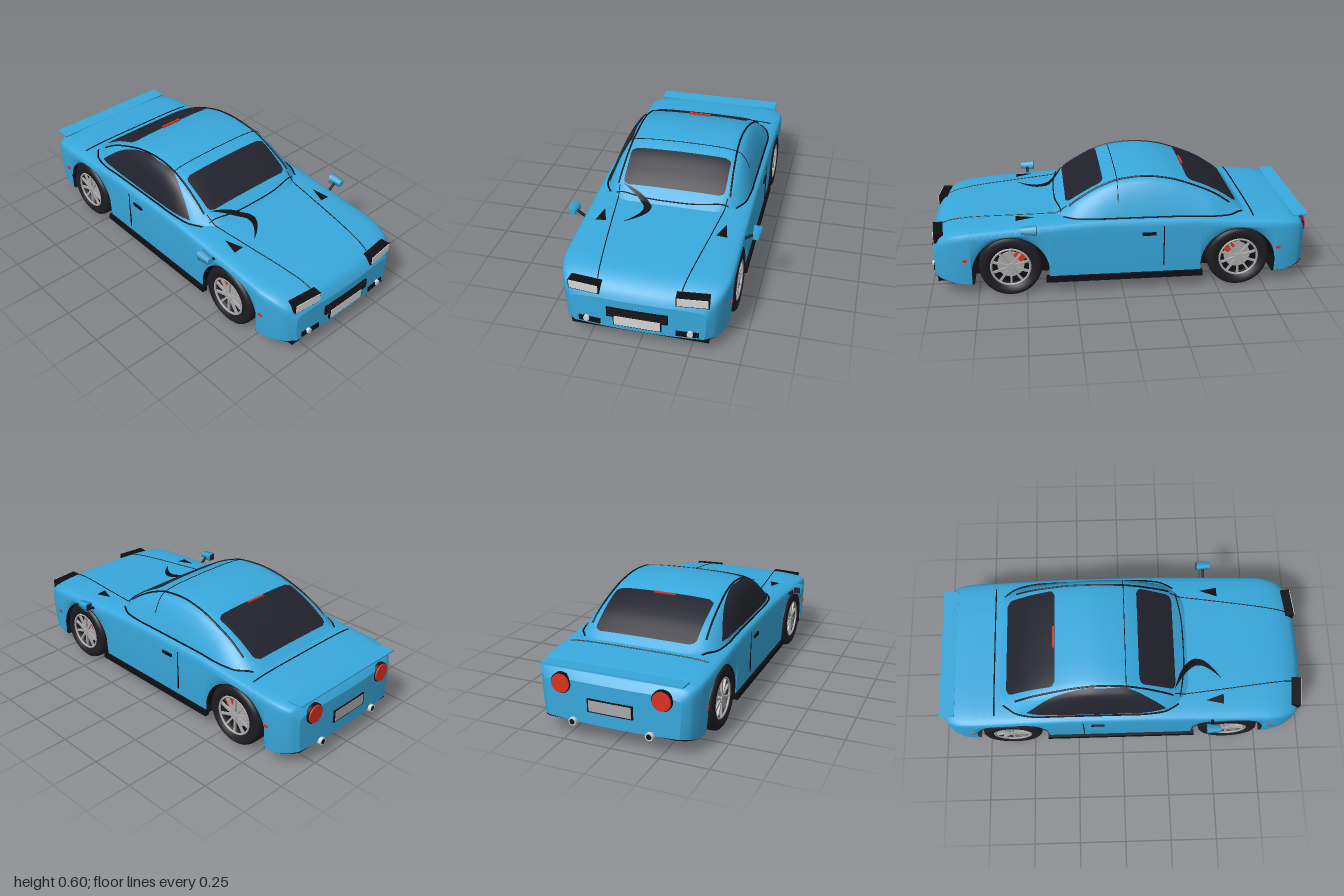
import * as THREE from 'three';

const mat = (name, color, side = THREE.FrontSide) => {
  const m = new THREE.MeshStandardMaterial({ color, side });
  m.name = name;
  return m;
};
const paint = mat('bluePaint', 0x38a8dc, THREE.DoubleSide);
const glass = mat('darkGlass', 0x22222e, THREE.DoubleSide);
const black = mat('blackTrim', 0x0e0e13, THREE.DoubleSide);
const rubber = mat('rubber', 0x1d1d22, THREE.DoubleSide);
const silver = mat('silver', 0xa9a9a9, THREE.DoubleSide);
const lens = mat('lightLens', 0xd6d6d6);
const red = mat('redLens', 0xd8331f);

// Smooth monotone interpolation through [x, y] pairs
function curve(pts) {
  const d = pts.slice(1).map((p, i) => (p[1] - pts[i][1]) / (p[0] - pts[i][0]));
  const m = pts.map((_, i) => {
    const a = d[i - 1] ?? d[i], b = d[i] ?? d[i - 1];
    return a * b <= 0 ? 0 : (2 * a * b) / (a + b);
  });
  return (x) => {
    x = Math.min(Math.max(x, pts[0][0]), pts[pts.length - 1][0]);
    let i = 0;
    while (i < pts.length - 2 && x > pts[i + 1][0]) i++;
    const h = pts[i + 1][0] - pts[i][0], t = (x - pts[i][0]) / h, u = 1 - t;
    return (1 + 2 * t) * u * u * pts[i][1] + t * u * u * h * m[i] +
      t * t * (3 - 2 * t) * pts[i + 1][1] - t * t * u * h * m[i + 1];
  };
}

// Surface from two lists of parameters
function grid(us, vs, fn) {
  const pos = [], idx = [], n = vs.length;
  us.forEach((u) => vs.forEach((v) => pos.push(...fn(u, v))));
  for (let i = 0; i < us.length - 1; i++) for (let j = 0; j < n - 1; j++) {
    const a = i * n + j;
    idx.push(a, a + 1, a + n, a + 1, a + n + 1, a + n);
  }
  const g = new THREE.BufferGeometry();
  g.setAttribute('position', new THREE.Float32BufferAttribute(pos, 3));
  g.setIndex(idx);
  g.computeVertexNormals();
  return g;
}
const span = (a, b, n) => Array.from({ length: n + 1 }, (_, i) => a + ((b - a) * i) / n);

// Body measurements along the length
const ARCHES = [-0.61, 0.58], ARCH_R = 0.2, ARCH_Y = 0.125, H = 0.05;
const width = curve([[-0.99, 0.35], [-0.965, 0.385], [-0.9, 0.412], [-0.8, 0.42], [0.78, 0.42], [0.88, 0.405], [0.95, 0.375], [0.99, 0.33]]);
const topLine = curve([[-0.99, 0.31], [-0.96, 0.35], [-0.9, 0.367], [-0.64, 0.387], [-0.3, 0.41], [0.1, 0.413], [0.35, 0.4], [0.55, 0.387], [0.75, 0.373], [0.87, 0.357], [0.94, 0.33], [0.975, 0.295], [0.99, 0.265]]);
const sill = curve([[-0.99, 0.1], [-0.85, 0.07], [0.82, 0.07], [0.99, 0.095]]);
const bow = (x, z) => Math.sign(x) * 0.025 * (z / 0.4) ** 2 * Math.max(0, (Math.abs(x) - 0.8) / 0.19);
function lowerEdge(x) {
  let y = sill(x);
  for (const c of ARCHES) {
    const d = Math.abs(x - c);
    if (d < ARCH_R) y = Math.max(y, ARCH_Y + Math.sqrt(ARCH_R ** 2 - d * d));
  }
  return Math.min(y, topLine(x) - H - 0.004);
}
function bodyPoint(x, v) {
  const a = Math.abs(v), w = width(x), ys = topLine(x) - H, b = lowerEdge(x);
  let y, z;
  if (a > 0.5) {
    const f = (1 - a) * 2;
    y = b + (ys - b) * f;
    z = w * (1 - 0.03 * (1 - f) ** 2);
  } else {
    z = w * Math.sqrt(Math.sin(a * Math.PI));
    y = ys + H * Math.sqrt(Math.max(0, Math.cos(a * Math.PI)));
  }
  return [x - bow(x, z), y, z * Math.sign(v)];
}

// Cabin measurements
const BELT = 0.385;
const roofLine = curve([[-0.67, 0.375], [-0.6, 0.428], [-0.5, 0.495], [-0.35, 0.562], [-0.25, 0.592], [-0.13, 0.605], [0, 0.594], [0.1, 0.56], [0.2, 0.505], [0.3, 0.44], [0.38, 0.385]]);
const cabinWidth = curve([[-0.67, 0.27], [-0.62, 0.335], [-0.56, 0.365], [-0.45, 0.386], [0.1, 0.388], [0.22, 0.375], [0.3, 0.335], [0.38, 0.26]]);
const SECTION = [[0, 1], [0.4, 0.985], [0.65, 0.95], [0.78, 0.88], [0.85, 0.74], [0.92, 0.47], [0.97, 0.2], [1, 0]];
const rise = curve(SECTION);
const inset = curve(SECTION.map(([z, t]) => [t, z]).reverse());
const roofY = (x, z) => BELT + (roofLine(x) - BELT) * rise(Math.abs(z) / cabinWidth(x));
function surfaceY(x, z) {
  const w = width(x), hood = topLine(x) - H + H * Math.max(0, 1 - (z / w) ** 4) ** 0.25;
  const inCabin = x > -0.67 && x < 0.38 && Math.abs(z) < cabinWidth(x);
  return inCabin ? Math.max(hood, roofY(x, z)) : hood;
}

export function createModel() {
  const car = new THREE.Group();
  car.name = 'car';
  const add = (name, geo, m, x = 0, y = 0, z = 0, parent = car) => {
    const mesh = new THREE.Mesh(geo, m);
    mesh.name = name;
    mesh.position.set(x, y, z);
    parent.add(mesh);
    return mesh;
  };
  const box = (name, m, x, y, z, sx, sy, sz) => add(name, new THREE.BoxGeometry(sx, sy, sz), m, x, y, z);
  const disc = (name, m, x, y, z, r, len) => add(name, new THREE.CylinderGeometry(r, r, len, 24).rotateZ(Math.PI / 2), m, x, y, z);

  // Lower body with open wheel arches
  const xs = span(-0.99, 0.99, 50).concat([-0.98, -0.965, 0.965, 0.98]);
  for (const c of ARCHES) {
    for (const a of span(0, Math.PI, 24)) xs.push(c + ARCH_R * Math.cos(a));
    xs.push(c - ARCH_R - 0.001, c + ARCH_R + 0.001);
  }
  xs.sort((a, b) => a - b);
  add('bodyShell', grid(xs, span(-1, 1, 40), bodyPoint), paint);
  for (const end of [-0.99, 0.99]) {
    add(end > 0 ? 'noseFace' : 'tailFace', grid(span(0, 1, 20), span(-1, 1, 12), (a, c) => {
      const [, y, z] = bodyPoint(end, a);
      return [end - bow(end, z * c), y, z * c];
    }), paint);
  }

  // Dark floor, narrowed between the wheel wells
  add('floor', grid(xs, [-1, 1], (x, s) => {
    const well = ARCHES.some((c) => Math.abs(x - c) < ARCH_R);
    return [x * 0.985, sill(x) - 0.004, s * (well ? 0.28 : width(x) * 0.96)];
  }), black);
  box('frontSplitter', black, 0.88, 0.079, 0, 0.16, 0.028, 0.68);

  // Cabin
  const section = [0, 0.1, 0.2, 0.33, 0.47, 0.6, 0.74, 0.82].map((t) => [inset(t), t])
    .concat([0.78, 0.72, 0.65, 0.52, 0.4, 0.2, 0].map((z) => [z, rise(z)]));
  const ring = section.concat(section.slice(0, -1).reverse().map(([z, t]) => [-z, t]));
  add('cabin', grid(span(-0.67, 0.38, 50), ring, (x, [z, t]) =>
    [x, BELT + (roofLine(x) - BELT) * t, z * cabinWidth(x)]), paint);

  // Windscreen and rear window with rounded corners
  for (const [name, x0, x1] of [['rearWindow', -0.62, -0.35], ['windscreen', 0.09, 0.285]]) {
    add(name, grid(span(x0, x1, 20), span(-1, 1, 20), (x, s) => {
      const e = Math.max(0, 0.03 - Math.min(x - x0, x1 - x));
      const z = s * (0.242 + Math.sqrt(Math.max(0, 0.0009 - e * e)));
      return [x, roofY(x, z) + 0.007, z];
    }), glass);
  }

  // Side window on the left flank
  const windowTop = curve([[-0.51, 0.413], [-0.42, 0.49], [-0.35, 0.533], [-0.25, 0.57], [-0.15, 0.584], [0, 0.576], [0.08, 0.545], [0.16, 0.485], [0.23, 0.414]]);
  add('sideWindow', grid(span(-0.51, 0.23, 36), span(0, 1, 12), (x, s) => {
    const y = 0.411 + (windowTop(x) - 0.411) * s;
    const t = Math.min(1, (y - BELT) / (roofLine(x) - BELT));
    return [x, y + 0.003, inset(t) * cabinWidth(x) + 0.006];
  }), glass);

  // Panel gaps and seals that follow the surface
  const seam = (name, pts, r = 0.0035) => {
    const flat = new THREE.CatmullRomCurve3(pts.map(([x, z]) => new THREE.Vector3(x, 0, z)));
    const on = flat.getPoints(40).map((p) => p.setY(surfaceY(p.x, p.z) + 0.001));
    add(name, new THREE.TubeGeometry(new THREE.CatmullRomCurve3(on), 60, r, 5), black);
  };
  seam('bootGap', [[-0.69, -0.37], [-0.69, 0], [-0.69, 0.37]]);
  seam('roofGap', [[0.02, -0.36], [0.02, 0], [0.02, 0.36]], 0.002);
  for (const s of [-1, 1]) {
    seam('bonnetGap', [[0.28, 0.29 * s], [0.6, 0.25 * s], [0.93, 0.205 * s]], 0.0025);
    seam('roofGutter', [[-0.57, 0.31 * s], [-0.4, 0.3 * s], [-0.1, 0.285 * s], [0.1, 0.29 * s], [0.27, 0.3 * s]], 0.005);
    seam('beltSeal', span(-0.64, 0.3, 14).map((x) => [x, (cabinWidth(x) + 0.002) * s]), 0.005);
  }
  seam('screenSeal', [[0.31, -0.3], [0.335, -0.15], [0.34, 0], [0.335, 0.15], [0.31, 0.3]]);

  // Flat painted details on the bonnet
  const decal = (name, shape) => {
    const g = new THREE.ShapeGeometry(shape, 12), p = g.attributes.position;
    for (let i = 0; i < p.count; i++) {
      const x = p.getX(i), z = p.getY(i);
      p.setXYZ(i, x, surfaceY(x, z) + 0.007, z);
    }
    g.computeVertexNormals();
    add(name, g, black);
  };
  const sweep = new THREE.Shape().moveTo(0.28, 0.27);
  sweep.bezierCurveTo(0.33, 0.1, 0.41, -0.01, 0.54, 0.2);
  sweep.bezierCurveTo(0.42, 0.08, 0.38, 0.1, 0.28, 0.27);
  decal('wiperSweep', sweep);
  for (const s of [-1, 1]) {
    decal('bonnetVent', new THREE.Shape().moveTo(0.45, 0.32 * s).lineTo(0.545, 0.285 * s).lineTo(0.545, 0.34 * s));
  }

  // Rear wing and high brake light
  box('rearWing', paint, -0.945, 0.366, 0, 0.08, 0.008, 0.73).rotation.z = -0.08;
  box('highBrakeLight', red, -0.358, roofLine(-0.358) + 0.005, 0, 0.012, 0.012, 0.12);

  // Nose and tail fittings
  box('grille', black, 0.99, 0.195, 0, 0.014, 0.052, 0.3);
  for (const y of [0.183, 0.197, 0.211]) box('grilleBar', rubber, 0.996, y, 0, 0.006, 0.006, 0.29);
  box('frontPlateFrame', black, 0.992, 0.152, 0, 0.012, 0.06, 0.236);
  box('frontPlate', lens, 0.996, 0.152, 0, 0.008, 0.052, 0.226);
  box('rearPlateFrame', black, -0.99, 0.2, 0, 0.01, 0.068, 0.236);
  box('rearPlate', silver, -0.993, 0.2, 0, 0.008, 0.056, 0.22);
  for (const s of [-1, 1]) {
    box('headlightFrame', black, 0.95, 0.307, 0.262 * s, 0.05, 0.05, 0.158).rotation.y = -0.1 * s;
    box('headlight', lens, 0.954, 0.309, 0.262 * s, 0.05, 0.042, 0.148).rotation.y = -0.1 * s;
    box('fogLightHousing', black, 0.977, 0.122, 0.24 * s, 0.02, 0.028, 0.11).rotation.y = -0.08 * s;
    disc('fogLight', lens, 0.985, 0.128, 0.255 * s, 0.015, 0.016);
    disc('tailLightRim', black, -0.976, 0.285, 0.26 * s, 0.052, 0.018);
    disc('tailLight', red, -0.982, 0.285, 0.26 * s, 0.047, 0.022);
    disc('exhaust', lens, -0.975, 0.1, 0.2 * s, 0.02, 0.05);
    disc('exhaustBore', black, -0.9995, 0.1, 0.2 * s, 0.014, 0.002);

    // Flank details
    for (const x of [-0.82, 0.81]) box('sideMarker', red, x, 0.21, (width(x) - 0.001) * s, 0.022, 0.014, 0.008);
    box('doorGap', black, -0.213, 0.25, 0.419 * s, 0.005, 0.22, 0.005);
    box('doorHandle', black, -0.135, 0.32, 0.421 * s, 0.07, 0.016, 0.012);
    box('sideSkirt', black, -0.01, 0.083, 0.411 * s, 0.82, 0.03, 0.028);

    // Door mirror on a slim arm
    const arm = new THREE.LineCurve3(new THREE.Vector3(0.48, 0.345, 0.41 * s), new THREE.Vector3(0.48, 0.385, 0.465 * s));
    add('mirrorArm', new THREE.TubeGeometry(arm, 1, 0.007, 8), black);
    const cup = new THREE.CylinderGeometry(0.021, 0.03, 0.075, 4).rotateY(Math.PI / 4).rotateZ(-Math.PI / 2);
    add('mirror', cup, paint, 0.48, 0.392, 0.477 * s);
    box('mirrorGlass', glass, 0.442, 0.392, 0.477 * s, 0.004, 0.034, 0.034);
  }

  // Wheels and wheel wells
  const R = 0.162;
  const tyre = new THREE.LatheGeometry([[0.105, -0.06], [0.145, -0.06], [0.158, -0.05], [R, -0.035], [R, 0.035], [0.158, 0.05], [0.145, 0.06], [0.108, 0.058], [0.1, 0.03]]
    .map(([r, y]) => new THREE.Vector2(r, y)), 40).rotateX(Math.PI / 2);
  for (const c of ARCHES) for (const s of [-1, 1]) {
    const wheel = new THREE.Group();
    wheel.name = 'wheel';
    wheel.position.set(c, R, 0.36 * s);
    if (s < 0) wheel.rotation.y = Math.PI;
    car.add(wheel);
    const side = (c < 0 ? 1 : -1) * s;
    add('tyre', tyre, rubber, 0, 0, 0, wheel);
    add('wheelBack', new THREE.CylinderGeometry(0.105, 0.105, 0.06, 32).rotateX(Math.PI / 2), black, 0, 0, -0.02, wheel);
    add('brakeDisc', new THREE.CylinderGeometry(0.07, 0.07, 0.01, 32).rotateX(Math.PI / 2), silver, 0, 0, 0.014, wheel);
    add('brakeCaliper', new THREE.BoxGeometry(0.055, 0.04, 0.02), red, 0.05 * side, 0.05, 0.025, wheel).rotation.z = -0.78 * side;
    add('rimRing', new THREE.TorusGeometry(0.1, 0.006, 8, 40), silver, 0, 0, 0.052, wheel);
    add('hub', new THREE.CylinderGeometry(0.02, 0.024, 0.02, 20).rotateX(Math.PI / 2), silver, 0, 0, 0.046, wheel);
    for (let i = 0; i < 10; i++) {
      add('spoke', new THREE.BoxGeometry(0.011, 0.085, 0.012).translate(0, 0.056, 0), silver, 0, 0, 0.046, wheel).rotation.z = (i * Math.PI) / 5;
    }

    const r = ARCH_R - 0.002;
    const liner = grid(span(0, Math.PI, 24), [0.28, 0.41], (a, z) => [r * Math.cos(a), ARCH_Y + r * Math.sin(a), z * s]);
    add('wheelWell', liner, black, c);
    const wall = new THREE.Shape().moveTo(-r, 0.066).lineTo(r, 0.066).lineTo(r, ARCH_Y);
    wall.absarc(0, ARCH_Y, r, 0, Math.PI, false);
    add('wheelWellWall', new THREE.ShapeGeometry(wall, 24), black, c, 0, 0.28 * s);
  }
  return car;
}
